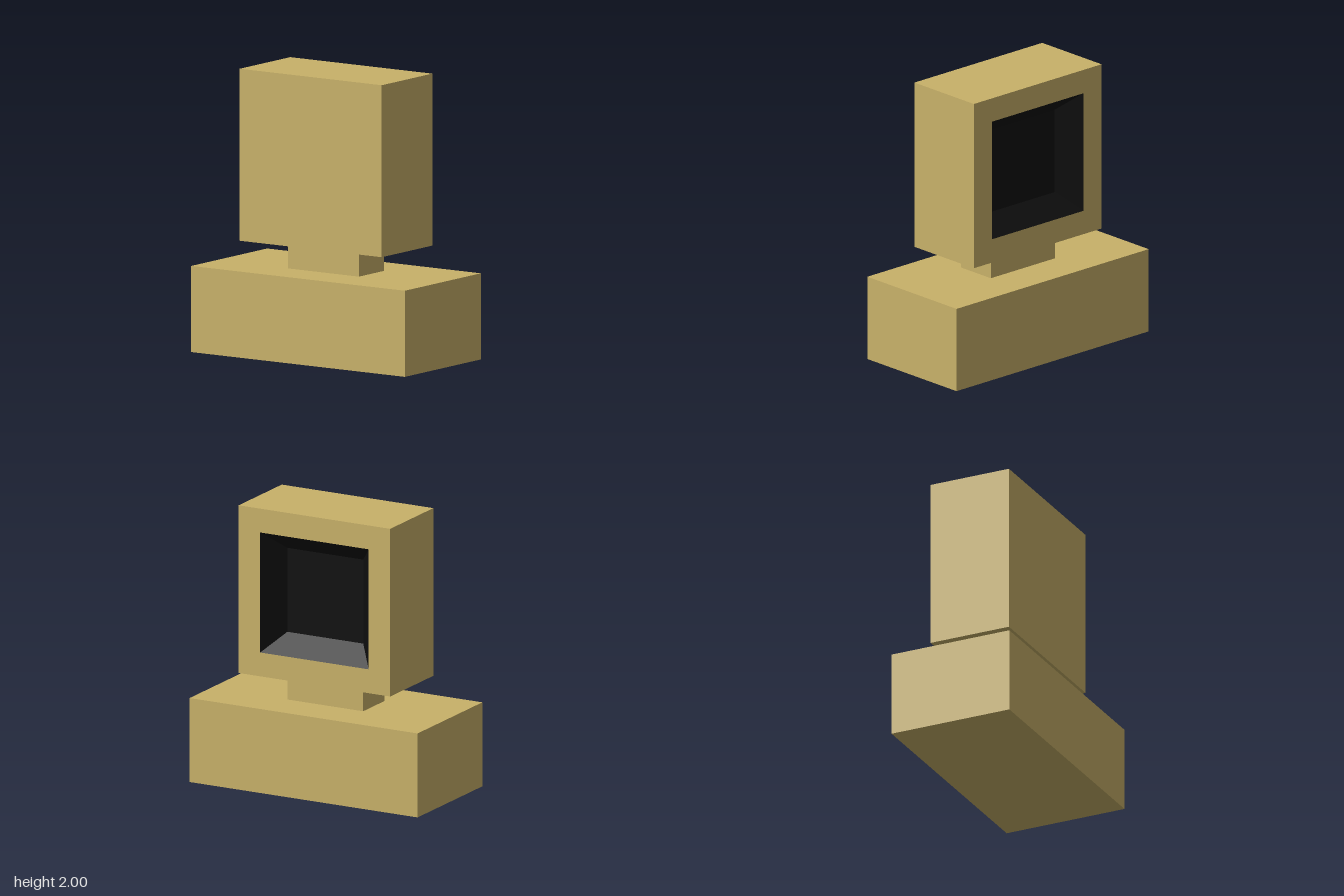
import * as THREE from 'three';

const beige = new THREE.MeshStandardMaterial({ color: 0xc8b169, flatShading: true });
const black = new THREE.MeshStandardMaterial({ color: 0x0e0e0e, flatShading: true });

export function createModel() {
  const model = new THREE.Group();

  const add = (parent, name, geometry, material) => {
    const mesh = new THREE.Mesh(geometry, material);
    mesh.name = name;
    parent.add(mesh);
    return mesh;
  };

  // Box standing on height y0
  const box = (name, width, depth, y0, y1) => {
    const geometry = new THREE.BoxGeometry(width, y1 - y0, depth);
    add(model, name, geometry, beige).position.y = (y0 + y1) / 2;
  };

  // Square-sided solid along x from a profile of [half side, x]
  const squareLathe = (profile) => {
    const points = profile.map(([half, x]) => new THREE.Vector2(half * Math.SQRT2, x));
    return new THREE.LatheGeometry(points, 4, Math.PI / 4).rotateZ(-Math.PI / 2);
  };

  // Computer case and the neck carrying the monitor
  box('case', 0.91, 1.82, 0, 0.606);
  box('neck', 0.303, 0.606, 0.606, 0.794);

  // Monitor: square housing with a tapered recess opening to +x
  const monitor = new THREE.Group();
  monitor.name = 'monitor';
  monitor.position.y = 1.397;
  model.add(monitor);
  const half = 0.303, side = 0.605, opening = 0.433;
  add(monitor, 'housing', squareLathe([[0, -half], [side, -half], [side, half], [opening, half]]), beige);
  add(monitor, 'screen', squareLathe([[opening, half], [0.303, 0.15], [0, 0.15]]), black);

  return model;
}
